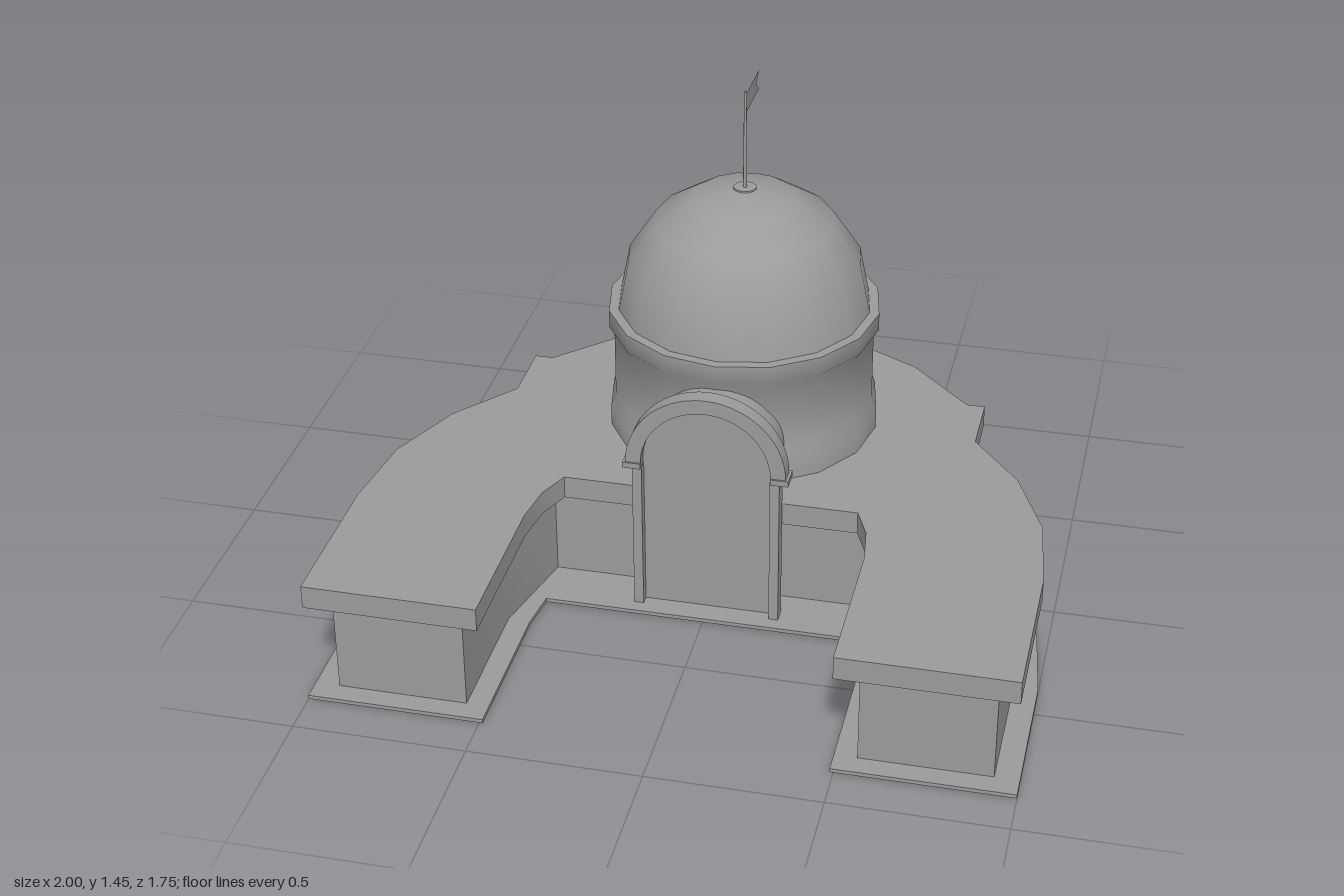
import * as THREE from 'three';
import { toCreasedNormals } from 'three/addons/utils/BufferGeometryUtils.js';

const stone = new THREE.MeshStandardMaterial({ color: 0x9b9b9b });
const flagCloth = new THREE.MeshStandardMaterial({ color: 0x9b9b9b, side: THREE.DoubleSide });

function add(parent, name, geometry, material = stone) {
  const mesh = new THREE.Mesh(geometry, material);
  mesh.name = name;
  parent.add(mesh);
  return mesh;
}

// Plan given as [x, z] points of the +x half, mirrored to a full outline and raised from y0 to y1
function planSlab(half, y0, y1) {
  const mirrored = half.filter(([x]) => x > 0).reverse().map(([x, z]) => [-x, z]);
  const shape = new THREE.Shape([...half, ...mirrored].map(([x, z]) => new THREE.Vector2(x, z)));
  const geo = new THREE.ExtrudeGeometry(shape, { depth: y1 - y0, bevelEnabled: false });
  geo.rotateX(Math.PI / 2).translate(0, y1, 0);
  return toCreasedNormals(geo, 0.5);
}

function turned(profile, segments) {
  const points = profile.map(([r, y]) => new THREE.Vector2(r, y));
  return toCreasedNormals(new THREE.LatheGeometry(points, segments), 0.75);
}

// Upright outline with a round head
function archShape(halfWidth, bottom, spring) {
  const shape = new THREE.Shape();
  shape.moveTo(-halfWidth, bottom);
  shape.lineTo(halfWidth, bottom);
  shape.lineTo(halfWidth, spring);
  shape.absarc(0, spring, halfWidth, 0, Math.PI, false);
  shape.closePath();
  return shape;
}

function extrudeZ(shape, z0, z1) {
  const geo = new THREE.ExtrudeGeometry(shape, { depth: z1 - z0, bevelEnabled: false, curveSegments: 14 });
  return toCreasedNormals(geo.translate(0, 0, z0), 0.6);
}

export function createModel() {
  const model = new THREE.Group();
  model.name = 'domedBuilding';

  // Horseshoe building: ground plate, walls, overhanging roof
  const backWall = [[0.655, -0.48], [0.465, -0.67], [0.245, -0.785], [0, -0.81]];
  add(model, 'groundPlate', planSlab([
    [0.475, 0.275], [0.49, 0.40], [0.49, 0.872], [1, 0.872], [1, 0.40], [0.965, 0.14],
    [0.86, -0.10], [0.71, -0.30], [0.71, -0.54], [0.50, -0.745], [0.265, -0.84], [0, -0.873],
  ], 0, 0.012));
  add(model, 'walls', planSlab([
    [0.485, 0.11], [0.555, 0.40], [0.555, 0.81], [0.93, 0.81], [0.93, 0.40], [0.895, 0.16],
    [0.80, -0.06], [0.655, -0.25], ...backWall,
  ], 0.012, 0.32));
  add(model, 'roof', planSlab([
    [0.435, 0.18], [0.475, 0.275], [0.492, 0.40], [0.492, 0.872], [0.993, 0.872], [0.993, 0.40],
    [0.96, 0.14], [0.86, -0.09], [0.71, -0.275], [0.71, -0.48], ...backWall,
  ], 0.315, 0.385));

  // Round tower with dome and flag
  const tower = new THREE.Group();
  tower.name = 'tower';
  tower.position.z = -0.293;
  model.add(tower);
  add(tower, 'drum', turned([
    [0.405, 0.38], [0.405, 0.45], [0.39, 0.49], [0.39, 0.70], [0.405, 0.72], [0.405, 0.775], [0.36, 0.775],
  ], 16));
  add(tower, 'dome', turned([
    [0.377, 0.77], [0.347, 0.92], [0.265, 1.043], [0.142, 1.123], [0.035, 1.144], [0, 1.144],
  ], 16));
  add(tower, 'finialBase', new THREE.CylinderGeometry(0.034, 0.035, 0.006, 12).translate(0, 1.145, 0));
  add(tower, 'flagPole', new THREE.CylinderGeometry(0.004, 0.006, 0.305, 8).translate(0, 1.297, 0));
  const flag = new THREE.Shape([[0, 1.376], [0.187, 1.376], [0.148, 1.405], [0.187, 1.435], [0, 1.435]]
    .map(([x, y]) => new THREE.Vector2(x, y)));
  add(tower, 'flag', new THREE.ShapeGeometry(flag).rotateY(Math.PI / 2), flagCloth);

  // Entrance: vaulted passage, door frame, round arch and its imposts
  const entrance = new THREE.Group();
  entrance.name = 'entrance';
  model.add(entrance);
  add(entrance, 'vaultedPassage', extrudeZ(archShape(0.19, 0.012, 0.5), -0.05, 0.205));
  const arch = new THREE.Shape();
  arch.absarc(0, 0.5, 0.235, 0, Math.PI, false);
  arch.absarc(0, 0.5, 0.19, Math.PI, 0, true);
  add(entrance, 'arch', extrudeZ(arch, 0.187, 0.237));
  for (const side of [-1, 1]) {
    add(entrance, 'doorPost', new THREE.BoxGeometry(0.028, 0.475, 0.046)).position.set(side * 0.202, 0.25, 0.211);
    add(entrance, 'impost', new THREE.BoxGeometry(0.053, 0.018, 0.062)).position.set(side * 0.2165, 0.493, 0.211);
  }
  return model;
}
